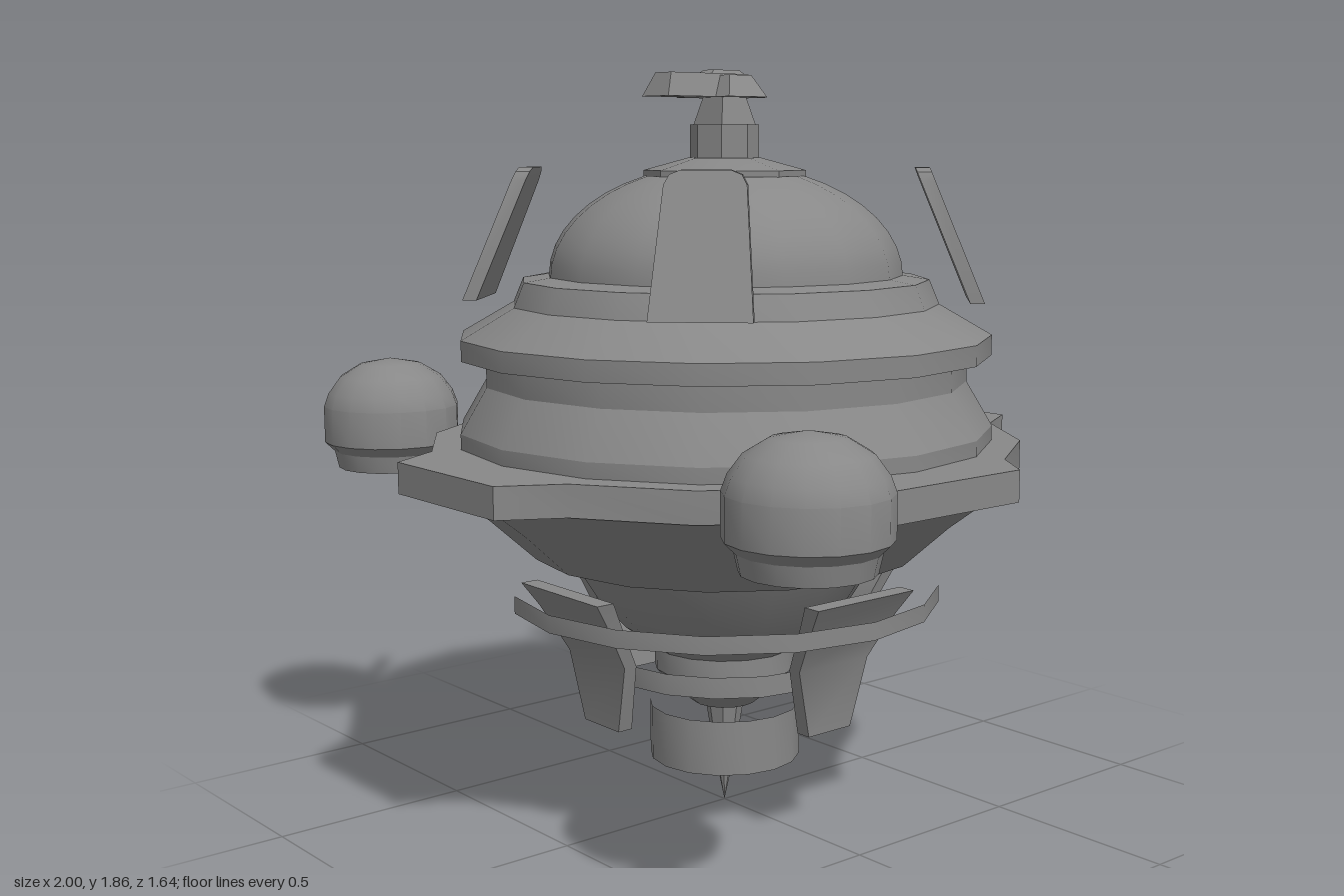
import * as THREE from 'three';
import { toCreasedNormals } from 'three/addons/utils/BufferGeometryUtils.js';

const grey = new THREE.MeshStandardMaterial({ color: 0x888888 });
grey.name = 'hullGrey';

function add(parent, name, geometry) {
  const mesh = new THREE.Mesh(toCreasedNormals(geometry, 0.5), grey);
  mesh.name = name;
  parent.add(mesh);
  return mesh;
}

// Turned part from [radius, y] pairs listed bottom to top
function turned(profile, sides = 16) {
  return new THREE.LatheGeometry(profile.map(([r, y]) => new THREE.Vector2(r, y)), sides);
}

// Closed four-sided loft; each section is [y, x0, x1, z0, z1], bottom to top
function slab(sections) {
  const pos = [];
  const index = [];
  for (const [y, x0, x1, z0, z1] of sections) {
    pos.push(x0, y, z0, x0, y, z1, x1, y, z1, x1, y, z0);
  }
  for (let s = 0; s < sections.length - 1; s++) {
    for (let i = 0; i < 4; i++) {
      const a = s * 4 + i;
      const b = s * 4 + ((i + 1) % 4);
      index.push(a, b, b + 4, a, b + 4, a + 4);
    }
  }
  const t = (sections.length - 1) * 4;
  index.push(t, t + 1, t + 2, t, t + 2, t + 3, 0, 2, 1, 0, 3, 2);
  const g = new THREE.BufferGeometry();
  g.setAttribute('position', new THREE.Float32BufferAttribute(pos, 3));
  g.setIndex(index);
  return g;
}

export function createModel() {
  const model = new THREE.Group();
  model.name = 'spaceStation';

  // Lower hull: neck, bowl and wide cone
  add(model, 'lowerHull', turned([
    [0, 0.28], [0.08, 0.28], [0.135, 0.325], [0.18, 0.375], [0.18, 0.43],
    [0.26, 0.49], [0.325, 0.56], [0.4, 0.68], [0.485, 0.68], [0.6, 0.785], [0.735, 0.89],
  ]));

  // Flange with four square docking tabs
  const corner = [[0.795, 0.2], [0.68, 0.28], [0.52, 0.52], [0.28, 0.68], [0.2, 0.82]];
  const back = [...corner].reverse();
  const outline = [
    ...corner,
    ...back.map(([x, z]) => [-x, z]),
    ...corner.map(([x, z]) => [-x, -z]),
    ...back.map(([x, z]) => [x, -z]),
  ].map(([x, z]) => new THREE.Vector2(x, z));
  const flange = new THREE.ExtrudeGeometry(new THREE.Shape(outline), { depth: 0.075, bevelEnabled: false });
  flange.rotateX(-Math.PI / 2).translate(0, 0.888, 0);
  add(model, 'flange', flange);

  // Upper hull: waist, overhanging ring and collar
  add(model, 'upperHull', turned([
    [0.665, 0.96], [0.665, 1.0], [0.6, 1.11], [0.6, 1.175], [0.66, 1.175],
    [0.66, 1.225], [0.53, 1.3], [0.505, 1.36], [0.44, 1.37],
  ]));

  // Dome and its cap
  const dome = [];
  for (let i = 0; i <= 8; i++) {
    const a = (i / 8) * 1.11;
    dome.push([0.44 * Math.cos(a), 1.365 + 0.275 * Math.sin(a)]);
  }
  add(model, 'dome', turned(dome));
  add(model, 'domeCap', turned([[0.2, 1.6], [0.2, 1.625], [0.09, 1.655], [0, 1.655]], 8));

  // Spire with a cross-shaped head
  const spire = new THREE.Group();
  spire.name = 'spire';
  model.add(spire);
  add(spire, 'column', turned([[0.085, 1.64], [0.085, 1.735], [0, 1.735]], 8));
  add(spire, 'stem', slab([[1.73, -0.055, 0.055, -0.055, 0.055], [1.81, -0.035, 0.035, -0.035, 0.035]]));
  add(spire, 'crossHead', slab([[1.8, -0.1, 0.1, -0.05, 0.07], [1.852, -0.065, 0.065, -0.03, 0.04]]));
  add(spire, 'longHead', slab([[1.8, -0.05, 0.05, -0.095, 0.215], [1.856, -0.03, 0.03, -0.05, 0.19]]));
  add(spire, 'headCrown', slab([[1.85, -0.03, 0.03, -0.05, 0.07], [1.865, -0.02, 0.02, -0.03, 0.05]]));

  // Leaning fins on the diagonals, claws on the axes
  for (let i = 0; i < 4; i++) {
    const fin = add(model, 'fin', slab([
      [1.31, 0.6, 0.635, -0.115, 0.115],
      [1.6, 0.478, 0.513, -0.092, 0.092],
      [1.622, 0.469, 0.504, -0.08, 0.08],
      [1.632, 0.465, 0.5, -0.055, 0.055],
    ]));
    fin.rotation.y = Math.PI / 4 + (i * Math.PI) / 2;

    const claw = add(model, 'claw', slab([
      [0.29, 0.352, 0.392, -0.068, 0.068],
      [0.46, 0.37, 0.405, -0.112, 0.112],
      [0.58, 0.435, 0.475, -0.138, 0.138],
      [0.638, 0.468, 0.515, -0.155, 0.155],
    ]));
    claw.rotation.y = (i * Math.PI) / 2;
  }

  // Thin open bands around the lower hull, and the nozzle
  add(model, 'clawRing', turned([[0.542, 0.548], [0.542, 0.592]]));
  add(model, 'neckRing', turned([[0.306, 0.373], [0.306, 0.425]]));
  add(model, 'nozzle', turned([[0.192, 0.14], [0.192, 0.278]]));
  add(model, 'spike', turned([[0, 0.01], [0.027, 0.14], [0.05, 0.285]], 8));

  // Round-topped side pods
  const podProfile = [
    [0, 0.835], [0.143, 0.835], [0.153, 0.88], [0.178, 0.905], [0.178, 1.0],
    [0.165, 1.035], [0.134, 1.077], [0.08, 1.11], [0, 1.125],
  ];
  for (const [side, name] of [[1, 'leftPod'], [-1, 'rightPod']]) {
    add(model, name, turned(podProfile)).position.set(side * 0.822, 0, 0.475);
  }

  return model;
}
